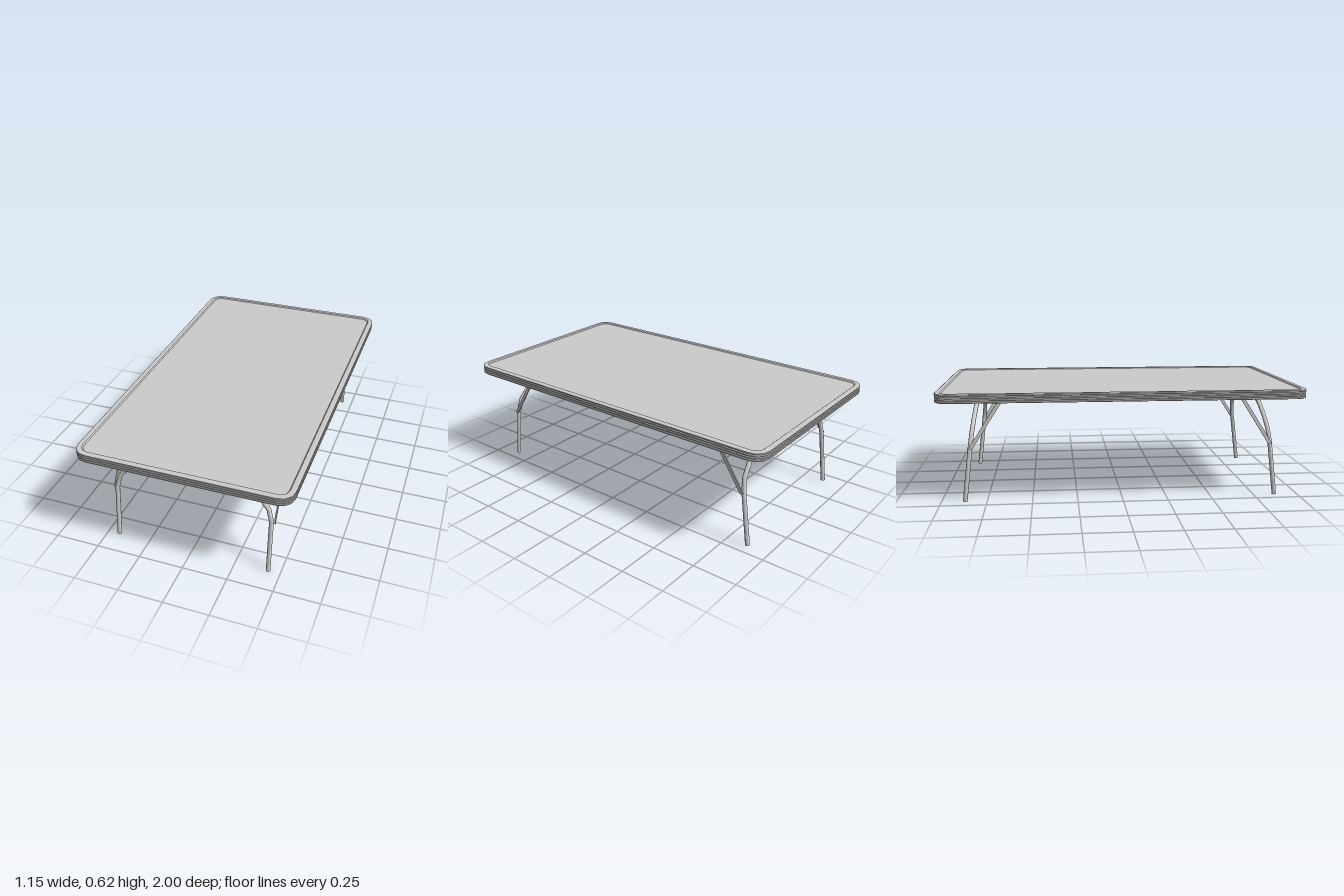
import * as THREE from 'three';

const mat = new THREE.MeshStandardMaterial({ color: 0xcccccc });
const flat = new THREE.MeshStandardMaterial({ color: 0xcccccc, flatShading: true });
const HALF_X = 0.577, HALF_Z = 1, CORNER = 0.075, STEPS = 3;

function add(parent, name, geometry, material = mat) {
  const mesh = new THREE.Mesh(geometry, material);
  mesh.name = name;
  parent.add(mesh);
  return mesh;
}

// Rounded rectangle at height y, inset from the outer edge
function ring(inset, y) {
  const points = [], r = CORNER - inset;
  [[1, 1], [-1, 1], [-1, -1], [1, -1]].forEach(([sx, sz], c) => {
    for (let i = 0; i <= STEPS; i++) {
      const a = (c + i / STEPS) * Math.PI / 2;
      points.push([sx * (HALF_X - CORNER) + r * Math.cos(a), y, sz * (HALF_Z - CORNER) + r * Math.sin(a)]);
    }
  });
  return points;
}

// Skin rings listed from the underside, round the edge, to the top
function slabGeometry(profile) {
  const rings = profile.map(([inset, y]) => ring(inset, y));
  const n = rings[0].length, pos = [];
  const tri = (a, b, c) => pos.push(...a, ...b, ...c);
  for (let k = 0; k < rings.length - 1; k++) {
    const lo = rings[k], hi = rings[k + 1];
    for (let i = 0; i < n; i++) {
      const j = (i + 1) % n;
      tri(lo[i], hi[i], hi[j]);
      tri(lo[i], hi[j], lo[j]);
    }
  }
  const bottom = rings[0], top = rings[rings.length - 1];
  for (let i = 1; i < n - 1; i++) {
    tri(bottom[0], bottom[i], bottom[i + 1]);
    tri(top[0], top[i + 1], top[i]);
  }
  const g = new THREE.BufferGeometry();
  g.setAttribute('position', new THREE.Float32BufferAttribute(pos, 3));
  g.computeVertexNormals();
  return g;
}

// Polyline with mitred bends
class BentPath extends THREE.Curve {
  constructor(points) {
    super();
    this.points = points;
  }
  getPoint(t, target = new THREE.Vector3()) {
    const f = t * (this.points.length - 1);
    const i = Math.min(Math.floor(f + 1e-6), this.points.length - 2);
    return target.lerpVectors(this.points[i], this.points[i + 1], f - i);
  }
  getPointAt(t, target) {
    return this.getPoint(t, target);
  }
  getTangentAt(t, target = new THREE.Vector3()) {
    const p = this.points, i = Math.round(t * (p.length - 1));
    target.set(0, 0, 0);
    if (i > 0) target.add(p[i].clone().sub(p[i - 1]).normalize());
    if (i < p.length - 1) target.add(p[i + 1].clone().sub(p[i]).normalize());
    return target.normalize();
  }
}

// Arched tube leg with its folding braces, for the front end
function legSet(name) {
  const g = new THREE.Group();
  g.name = name;
  const legZ = y => 0.87 - 0.125 * y;
  const half = [[0.433, 0.002], [0.433, 0.31], [0.415, 0.38], [0.36, 0.445], [0.29, 0.5], [0.21, 0.541], [0.135, 0.557]];
  const outline = [...half, ...half.slice().reverse().map(([x, y]) => [-x, y])];
  const points = outline.map(([x, y]) => new THREE.Vector3(x, y, legZ(y)));
  add(g, 'archedLeg', new THREE.TubeGeometry(new BentPath(points), points.length - 1, 0.0125, 12));

  const low = new THREE.Vector2(0.829, 0.302), high = new THREE.Vector2(0.65, 0.58);
  const span = high.clone().sub(low);
  for (const s of [1, -1]) {
    const foot = add(g, 'footCap', new THREE.CircleGeometry(0.0125, 12));
    foot.position.set(s * 0.433, 0.002, legZ(0.002));
    foot.rotation.x = Math.PI / 2 - 0.124;

    const brace = add(g, 'brace', new THREE.BoxGeometry(0.006, span.length(), 0.02));
    brace.position.set(s * 0.45, (low.y + high.y) / 2, (low.x + high.x) / 2);
    brace.rotation.x = Math.atan2(span.x, span.y);

    const rivet = add(g, 'rivet', new THREE.CylinderGeometry(0.006, 0.006, 0.014, 10));
    rivet.position.set(s * 0.448, 0.305, 0.83);
    rivet.rotation.z = Math.PI / 2;
  }

  // Bar the braces swing on, held between the side rims
  const bar = add(g, 'crossbar', new THREE.CylinderGeometry(0.009, 0.009, 1.09, 10));
  bar.position.set(0, 0.582, 0.65);
  bar.rotation.z = Math.PI / 2;
  return g;
}

export function createModel() {
  const model = new THREE.Group();
  model.name = 'foldingTable';

  // Recessed underside, ridged edge, raised rim and sunken top
  const profile = [[0.035, 0.6], [0.035, 0.57]];
  for (let i = 0; i < 4; i++) {
    const y = 0.57 + i * 0.0125;
    profile.push([0.006, y], [0, y + 0.003], [0, y + 0.0095]);
  }
  profile.push([0.006, 0.62], [0.028, 0.62], [0.034, 0.614]);
  add(model, 'tabletop', slabGeometry(profile), flat);

  const front = legSet('frontLegs'), back = legSet('backLegs');
  back.rotation.y = Math.PI;
  model.add(front, back);
  return model;
}
